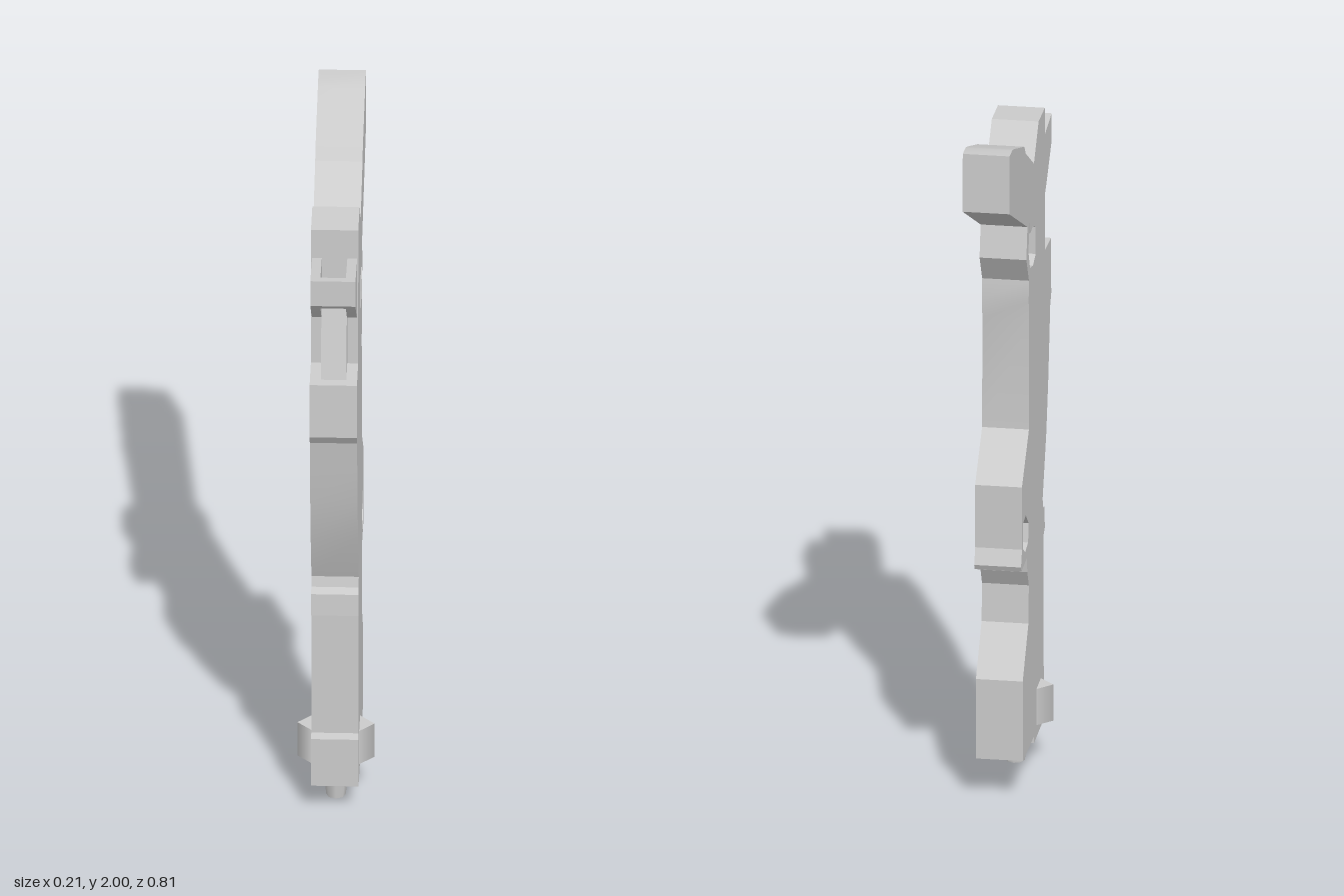
import * as THREE from 'three';
import { toCreasedNormals } from 'three/addons/utils/BufferGeometryUtils.js';

const grey = new THREE.MeshStandardMaterial({ color: 0xcccccc });
const vec = (pts) => pts.map(([z, y]) => new THREE.Vector2(z, y));

// Side profile of [z, y] points, extruded across x and centred on the given x
function slab(name, pts, width, x = 0, holes = []) {
  const shape = new THREE.Shape(vec(pts));
  for (const h of holes) shape.holes.push(new THREE.Path(vec(h)));
  let geo = new THREE.ExtrudeGeometry(shape, { depth: width, bevelEnabled: false });
  geo.translate(0, 0, -width / 2).rotateY(-Math.PI / 2);
  geo = toCreasedNormals(geo, 0.3);
  const mesh = new THREE.Mesh(geo, grey);
  mesh.name = name;
  mesh.position.x = x;
  return mesh;
}

export function createModel() {
  const group = new THREE.Group();
  group.name = 'gripModel';
  const W = 0.13;

  // Main body: foot, curved front, head, rear arm and back bulges
  const body = [
    [0.24, 0.085], [0.24, 0.235], [0.23, 0.25], [0.23, 0.63], [0.255, 0.643], [0.25, 0.708],
    [0.222, 0.715], [0.215, 0.745], [0.282, 0.91], [0.318, 1.05], [0.338, 1.16], [0.355, 1.26],
    [0.375, 1.29], [0.37, 1.455], [0.263, 1.462], [0.26, 1.60], [0.255, 1.885], [0.14, 1.89],
    [0.053, 1.80], [-0.1, 1.89], [-0.125, 1.92], [-0.32, 1.99], [-0.35, 1.998], [-0.4, 2.0],
    [-0.403, 1.83], [-0.068, 1.66], [-0.088, 1.57], [-0.04, 1.49], [-0.045, 1.43], [-0.035, 1.37],
    [-0.04, 1.05], [-0.17, 0.93], [-0.168, 0.745], [-0.187, 0.70], [-0.18, 0.685], [-0.077, 0.685],
    [-0.07, 0.64], [-0.042, 0.59], [-0.05, 0.48], [-0.155, 0.35], [-0.155, 0.115], [0.055, 0.105],
    [0.055, 0.085],
  ];
  const upperHole = [
    [0.085, 1.6], [0.03, 1.623], [-0.012, 1.62], [-0.025, 1.655],
    [-0.05, 1.58], [-0.02, 1.52], [0.035, 1.505], [0.085, 1.52],
  ];
  const lowerHole = [
    [-0.045, 0.775], [-0.1, 0.82], [-0.15, 0.815], [-0.15, 0.74], [-0.11, 0.715], [-0.055, 0.722],
  ];
  group.add(slab('body', body, W, 0, [upperHole, lowerHole]));

  // Open front bracket: two side walls joined by a front bar
  const wall = [[0.25, 1.60], [0.305, 1.64], [0.403, 1.73], [0.403, 1.81], [0.25, 1.795]];
  for (const s of [-1, 1]) group.add(slab(s > 0 ? 'bracketWallLeft' : 'bracketWallRight', wall, 0.027, s * 0.0485));
  group.add(slab('bracketBar', [[0.38, 1.709], [0.403, 1.73], [0.403, 1.81], [0.38, 1.808]], 0.07));

  // Sloping rib between the bracket walls, standing on the front shelf
  group.add(slab('frontRib', [[0.25, 1.45], [0.345, 1.45], [0.283, 1.71], [0.25, 1.71]], 0.07));

  // Four-sided side pegs
  for (const s of [-1, 1]) {
    const peg = new THREE.Mesh(new THREE.CylinderGeometry(0.041, 0.041, 0.107, 4), grey);
    peg.name = s > 0 ? 'pegLeft' : 'pegRight';
    peg.position.set(s * 0.065, 0.174, 0.14);
    group.add(peg);
  }

  // Tapered pin under the foot
  const pin = new THREE.Mesh(new THREE.CylinderGeometry(0.036, 0.027, 0.09, 8), grey);
  pin.name = 'bottomPin';
  pin.position.set(0, 0.045, 0.14);
  group.add(pin);

  return group;
}
